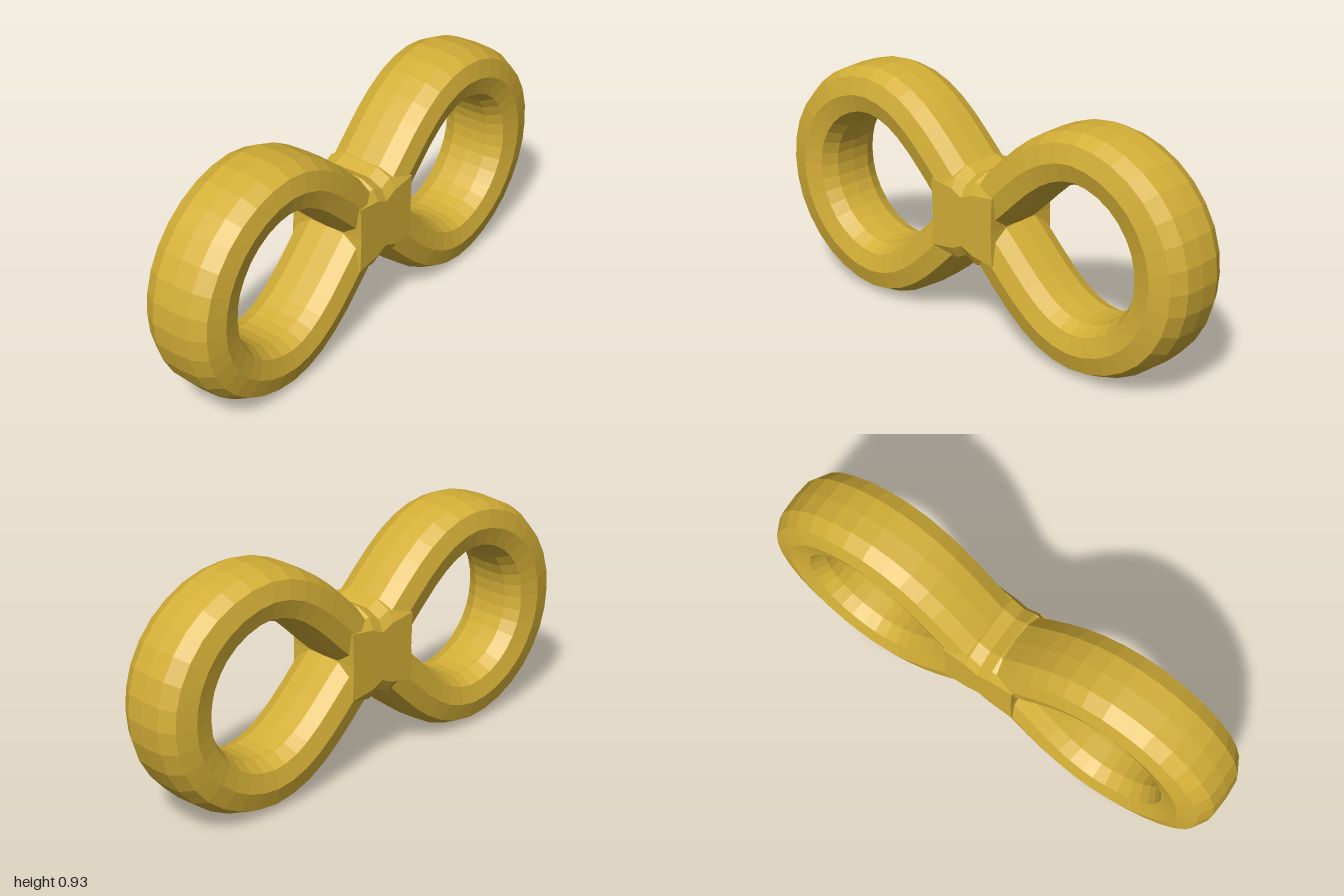
import * as THREE from 'three';

const CENTER_Y = 0.468;

// Closed or open skin over equal-length rings of [x, y, z] points
function skin(rings, closed) {
  const n = rings[0].length, m = rings.length, index = [];
  const pos = rings.flat();
  for (let i = 0; i < (closed ? m : m - 1); i++) {
    for (let j = 0; j < n; j++) {
      const a = i * n + j, b = i * n + (j + 1) % n;
      const c = ((i + 1) % m) * n + j, d = ((i + 1) % m) * n + (j + 1) % n;
      if (closed) index.push(a, c, b, b, c, d);
      else index.push(a, b, c, b, d, c);
    }
  }
  if (!closed) {
    // flat end faces, fanned from the middle
    const first = pos.length, last = first + 1, base = (m - 1) * n;
    pos.push([0, 0, rings[0][0][2]], [0, 0, rings[m - 1][0][2]]);
    for (let j = 0; j < n; j++) {
      const k = (j + 1) % n;
      index.push(first, k, j, last, base + j, base + k);
    }
  }
  const g = new THREE.BufferGeometry();
  g.setAttribute('position', new THREE.Float32BufferAttribute(pos.flat(), 3));
  g.setIndex(index);
  g.computeVertexNormals();
  return g;
}

// Figure-eight band: one quarter of the centre line, mirrored around
function bandGeometry() {
  const quarter = [[0, 0], [0.13, 0.12], [0.26, 0.245], [0.385, 0.33], [0.52, 0.364],
    [0.66, 0.335], [0.78, 0.255], [0.86, 0.135], [0.885, 0]];
  const loop = [...quarter, ...quarter.slice(1, -1).reverse().map(([x, y]) => [x, -y])];
  const path = [...loop, ...loop.map(([x, y]) => [-x, y])];
  const curve = new THREE.CatmullRomCurve3(
    path.map(([x, y]) => new THREE.Vector3(x, y, 0)), true, 'catmullrom', 0.5);

  // twelve-sided section: [share of half width, depth]
  const q = [[1, 0], [0.96, 0.08], [0.68, 0.139], [0, 0.158]];
  const section = [...q, ...q.slice(0, 3).reverse().map(([o, z]) => [-o, z]),
    ...q.slice(1).map(([o, z]) => [-o, -z]), ...q.slice(1, 3).reverse().map(([o, z]) => [o, -z])];

  const rings = [], steps = 64;
  for (let i = 0; i < steps; i++) {
    const p = curve.getPoint(i / steps), t = curve.getTangent(i / steps);
    const end = Math.max(0, (Math.abs(p.x) - 0.52) / 0.365);
    const w = 0.103 + 0.012 * end * end;
    rings.push(section.map(([o, z]) => [p.x + t.y * o * w, p.y - t.x * o * w, z]));
  }
  return skin(rings, true);
}

// Hub filling the crossing, flat in front and back, bevelled above and below
function hubGeometry() {
  const layers = [[0.163, 0.075], [0.139, 0.03], [0.08, 0.004]];
  const all = [...layers.map(([z, d]) => [-z, d]), ...layers.reverse().map(([z, d]) => [z, d])];
  return skin(all.map(([z, d]) => {
    const h = 0.172 - d, s = 0.195 - d;
    return [[0.15, 0], [0.155, 0.135], [0.05, s], [0, h], [-0.05, s], [-0.155, 0.135],
      [-0.15, 0], [-0.155, -0.135], [-0.05, -s], [0, -h], [0.05, -s], [0.155, -0.135]]
      .map(([x, y]) => [x, y, z]);
  }), false);
}

export function createModel() {
  const group = new THREE.Group();
  group.name = 'infinityLoop';
  const gold = new THREE.MeshStandardMaterial({ color: 0xd4af37, flatShading: true });
  for (const [name, geometry] of [['band', bandGeometry()], ['crossingHub', hubGeometry()]]) {
    const mesh = new THREE.Mesh(geometry, gold);
    mesh.name = name;
    mesh.position.y = CENTER_Y;
    group.add(mesh);
  }
  return group;
}
